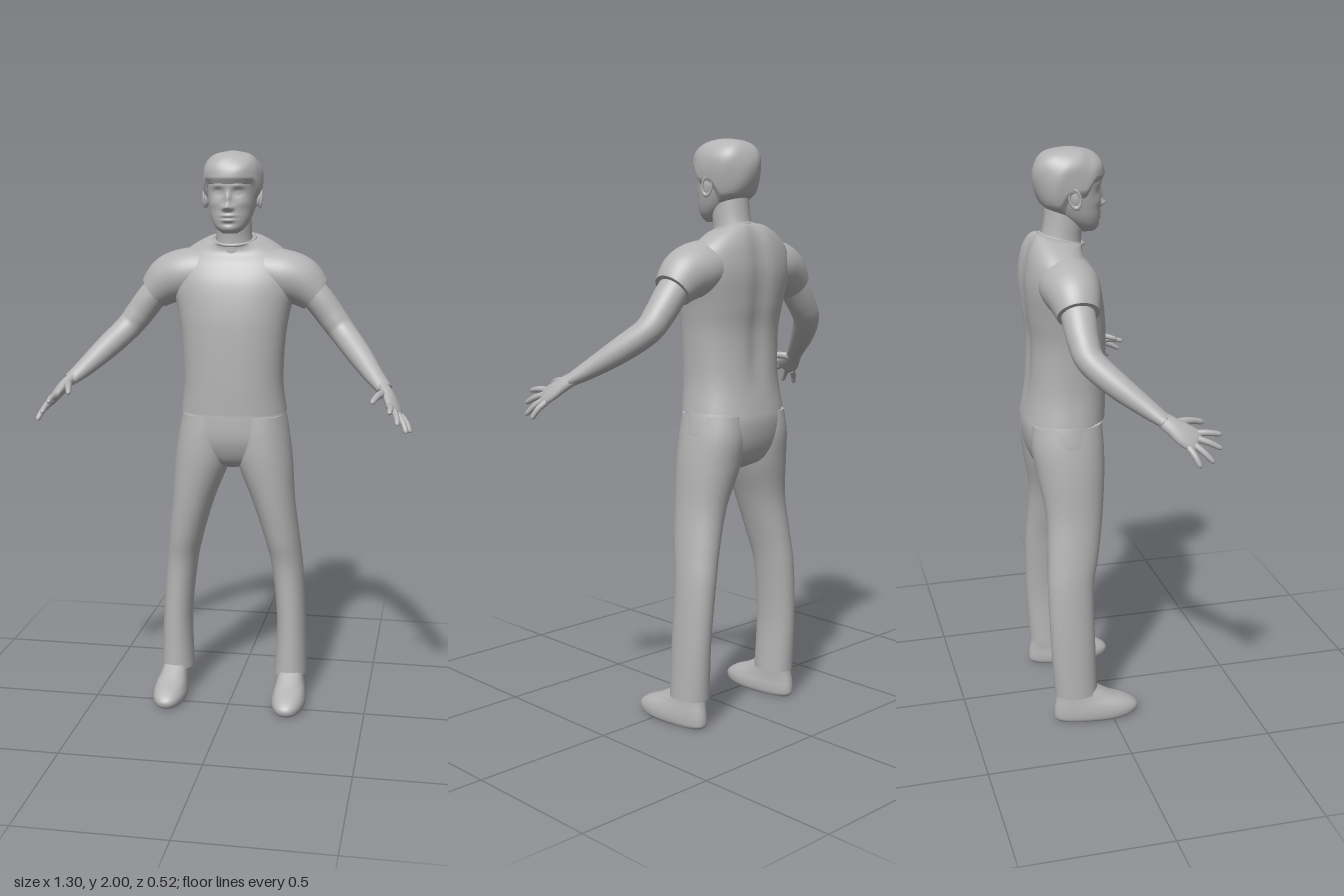
import * as THREE from 'three';

const grey = new THREE.MeshStandardMaterial({ color: 0xb4b4b4 });
grey.name = 'plain grey';

const { lerp, smoothstep, clamp } = THREE.MathUtils;
const V = (...a) => new THREE.Vector3(...a);

// Smooth (Catmull-Rom) interpolation through rows of numbers, u in 0..1
function sample(rows, u) {
  const f = clamp(u, 0, 1) * (rows.length - 1);
  const i = Math.min(Math.floor(f), rows.length - 2), t = f - i;
  const at = k => rows[clamp(k, 0, rows.length - 1)];
  const [p, q, r, s] = [at(i - 1), at(i), at(i + 1), at(i + 2)];
  return q.map((b, k) => b + 0.5 * t * (r[k] - p[k] +
    t * (2 * p[k] - 5 * b + 4 * r[k] - s[k] + t * (3 * (b - r[k]) + s[k] - p[k]))));
}

// Closed skin from point(u, angle), with flat caps; mirror = -1 flips it in x
function skin(name, point, nu, nv, mirror = 1) {
  const pos = [], index = [];
  const tri = (a, b, c) => mirror > 0 ? index.push(a, b, c) : index.push(a, c, b);
  const put = p => pos.push(p.x * mirror, p.y, p.z) / 3 - 1;
  const ring = u => Array.from({ length: nv }, (_, j) => point(u, j / nv * Math.PI * 2));
  for (let i = 0; i <= nu; i++) ring(i / nu).forEach(put);
  for (let i = 0; i < nu; i++) for (let j = 0; j < nv; j++) {
    const a = i * nv + j, b = i * nv + (j + 1) % nv;
    tri(a, a + nv, b);
    tri(b, a + nv, b + nv);
  }
  for (const end of [0, 1]) {
    const pts = ring(end), mid = V();
    pts.forEach(p => mid.addScaledVector(p, 1 / nv));
    const c = put(mid), first = c + 1;
    pts.forEach(put);
    for (let j = 0; j < nv; j++) {
      const a = first + j, b = first + (j + 1) % nv;
      end ? tri(c, b, a) : tri(c, a, b);
    }
  }
  const g = new THREE.BufferGeometry();
  g.setAttribute('position', new THREE.Float32BufferAttribute(pos, 3));
  g.setIndex(index);
  g.computeVertexNormals();
  const mesh = new THREE.Mesh(g, grey);
  mesh.name = name;
  return mesh;
}

// Rounded horizontal section: row = [y, centre x, half width, front z, back z]
const rounded = (v, n) => Math.sign(v) * Math.abs(v) ** (2 / n);
function section([y, cx, hw, zf, zb], angle, n = 2.2) {
  return V(cx + hw * rounded(Math.cos(angle), n), y,
    (zf + zb) / 2 + (zf - zb) / 2 * rounded(Math.sin(angle), n));
}
const upright = (rows, n) => (u, a) => section(sample(rows, u), a, n);

// Section square to a path: row = [x, y, z, half thickness, half width]
function limb(rows, ref = V(0, 1, 0)) {
  return (u, a) => {
    const [x, y, z, h, w] = sample(rows, u);
    const t = V(...sample(rows, u + 0.01)).sub(V(...sample(rows, u - 0.01))).normalize();
    const side = ref.clone().cross(t).normalize();
    const up = t.clone().cross(side);
    return V(x, y, z).addScaledVector(up, h * Math.cos(a)).addScaledVector(side, w * Math.sin(a));
  };
}

const shirtRows = [
  [1.09, 0, .19, .022, -.263], [1.2, 0, .178, .025, -.245], [1.35, 0, .185, .025, -.238],
  [1.45, 0, .2, .02, -.25], [1.55, 0, .222, .002, -.258], [1.62, 0, .21, -.028, -.252],
  [1.665, 0, .165, -.05, -.238], [1.695, 0, .11, -.052, -.217], [1.7, 0, .076, -.042, -.195]];
const hipRows = [
  [.885, 0, .03, -.07, -.17], [.91, 0, .13, -.035, -.215], [.95, 0, .185, -.012, -.24],
  [1.0, 0, .2, .002, -.255], [1.06, 0, .192, .003, -.26], [1.11, 0, .18, 0, -.25]];
const legRows = [
  [.1, .214, .06, -.05, -.203], [.3, .214, .053, -.057, -.215], [.5, .198, .057, -.057, -.22],
  [.62, .178, .064, -.035, -.215], [.76, .148, .077, -.014, -.212], [.9, .116, .099, 0, -.235],
  [1.0, .104, .098, .001, -.25], [1.08, .1, .085, -.005, -.245]];
const shoeRows = [
  [0, .221, .054, .08, -.195], [.012, .221, .062, .097, -.207], [.035, .221, .064, .098, -.208],
  [.06, .221, .06, .065, -.205], [.085, .219, .055, .005, -.2], [.12, .216, .05, -.055, -.195]];
const neckRows = [
  [1.63, 0, .075, -.05, -.2], [1.7, 0, .064, -.05, -.187], [1.75, 0, .062, -.045, -.177],
  [1.82, 0, .06, -.05, -.17]];
const headRows = [
  [1.722, 0, .025, -.005, -.06], [1.74, 0, .05, .008, -.09], [1.77, 0, .068, .013, -.13],
  [1.81, 0, .08, .014, -.17], [1.85, 0, .087, .014, -.19], [1.9, 0, .091, .018, -.2],
  [1.94, 0, .087, .012, -.195], [1.97, 0, .068, -.012, -.175], [1.985, 0, .04, -.045, -.14],
  [1.99, 0, 0, -.09, -.09]];
const sleeveRows = [
  [.08, 1.585, -.13, .085, .095], [.17, 1.572, -.13, .091, .1], [.235, 1.549, -.13, .087, .088],
  [.29, 1.505, -.13, .064, .07]];
const armRows = [
  [.25, 1.545, -.13, .05, .055], [.3, 1.49, -.13, .052, .056], [.35, 1.425, -.127, .05, .051],
  [.39, 1.375, -.112, .046, .047], [.45, 1.312, -.045, .042, .043], [.51, 1.25, .035, .031, .034],
  [.55, 1.214, .085, .021, .029]];
const palmRows = [
  [.54, 1.224, .07, .02, .026], [.562, 1.2, .105, .02, .032], [.578, 1.176, .138, .018, .04],
  [.589, 1.155, .17, .013, .04], [.592, 1.148, .18, .004, .034]];

// Sculpting of the face: [x, y, depth, spread x, spread y], mirrored when x > 0
const faceBumps = [
  [0, 1.812, .02, .012, .012], [0, 1.84, .012, .009, .024], [.013, 1.809, .008, .008, .008],
  [.035, 1.862, -.011, .018, .012], [.035, 1.861, .006, .012, .007], [.035, 1.884, .004, .025, .008],
  [.05, 1.825, .004, .02, .016], [0, 1.783, .008, .022, .006], [0, 1.768, .008, .02, .006],
  [0, 1.776, -.003, .026, .003], [0, 1.755, -.003, .022, .006], [0, 1.737, .004, .022, .012]];

function headPoint(u, a) {
  const p = section(sample(headRows, u), a);
  const front = smoothstep(Math.sin(a), .15, .5);
  let dz = 0;
  for (const [x, y, d, sx, sy] of faceBumps) for (const s of x ? [1, -1] : [1])
    dz += d * Math.exp(-(((p.x - s * x) / sx) ** 2) - ((p.y - y) / sy) ** 2);
  p.z += dz * front;
  return p;
}

// Hair follows the skull from a hairline that varies around the head
function hairPoint(t, a) {
  const s = Math.sin(a);
  const start = s > 0 ? lerp(.42, .53, smoothstep(s, .25, .65)) : lerp(.42, .27, smoothstep(-s, .1, .6));
  const u = lerp(start, 1, t);
  const [y, cx, hw, zf, zb] = sample(headRows, u);
  const d = .012 * Math.min(1, .1 + t * 9) + .002 * Math.sin(5 * a + 9 * t) * Math.sin(Math.PI * t);
  const fade = t > .999 ? 0 : 1;
  return section([y + .01 * u ** 4, cx, hw + d * fade, zf + d * fade, zb - d * fade], a);
}

function shirtPoint(u, a) {
  const p = section(sample(shirtRows, u), a, 2.3), s = Math.sin(a);
  if (s < 0) p.z += .012 * Math.exp(-((p.x / .035) ** 2)) * smoothstep(p.y, 1.12, 1.3); // spine hollow
  p.y -= .02 * s * smoothstep(p.y, 1.6, 1.7); // neckline dips at the front
  return p;
}

function shoePoint(u, a) {
  const p = section(sample(shoeRows, u), a, 2.3);
  p.x = .221 + (p.x - .221) * lerp(.78, 1, smoothstep(p.z, -.18, .03)); // narrower heel
  return p;
}

export function createModel() {
  const model = new THREE.Group();
  model.name = 'standing man';

  model.add(
    skin('shirt', shirtPoint, 48, 64),
    skin('trouserHips', upright(hipRows), 24, 48),
    skin('neck', upright(neckRows, 2), 12, 32),
    skin('head', headPoint, 100, 128),
    skin('hair', hairPoint, 40, 72));

  // Collar band
  const collar = new THREE.Mesh(new THREE.TorusGeometry(.073, .006, 8, 48), grey);
  collar.name = 'collar';
  collar.scale.y = 1.04;
  collar.rotation.x = -Math.PI / 2 + .26;
  collar.position.set(0, 1.699, -.118);
  model.add(collar);

  // Hand frame: direction across the knuckles and the back of the hand
  const across = V(.56, -.56, -.61), back = V(.74, .65, .08);
  const tips = [V(.575, 1.165, .262), V(.602, 1.126, .256), V(.631, 1.092, .22), V(.643, 1.085, .172)];

  for (const [side, m] of [['left', 1], ['right', -1]]) {
    model.add(
      skin(side + 'Sleeve', limb(sleeveRows), 20, 40, m),
      skin(side + 'Arm', limb(armRows), 36, 32, m),
      skin(side + 'TrouserLeg', upright(legRows, 2.1), 48, 40, m),
      skin(side + 'Shoe', shoePoint, 24, 48, m));

    const hand = new THREE.Group();
    hand.name = side + 'Hand';
    hand.add(skin('palm', limb(palmRows, back), 20, 24, m));
    tips.forEach((tip, i) => {
      const base = V(.586, 1.159, .162).addScaledVector(across, (i - 1.5) * .02);
      const at = (t, r) => {
        const p = base.clone().lerp(tip, t).addScaledVector(back, .006 * Math.sin(Math.PI * t));
        return [p.x, p.y, p.z, r, r];
      };
      hand.add(skin('finger', limb([at(0, .011), at(.35, .0105), at(.65, .0095), at(.92, .0075), at(1, 0)], back), 16, 14, m));
    });
    hand.add(skin('thumb', limb([[.555, 1.2, .1, .014, .016], [.54, 1.206, .14, .013, .014],
      [.528, 1.203, .178, .011, .011], [.518, 1.193, .213, .008, .009], [.515, 1.19, .222, 0, 0]], back), 16, 14, m));
    model.add(hand);

    // Ear: shell with a raised rim
    const ear = new THREE.Group();
    ear.name = side + 'Ear';
    const shell = new THREE.Mesh(new THREE.SphereGeometry(1, 20, 14), grey);
    shell.name = 'earShell';
    shell.scale.set(.009, .031, .018);
    const rim = new THREE.Mesh(new THREE.TorusGeometry(.018, .0045, 8, 28), grey);
    rim.name = 'earRim';
    rim.rotation.y = Math.PI / 2;
    rim.scale.y = 1.7;
    rim.position.x = m * .006;
    ear.add(shell, rim);
    ear.position.set(m * .09, 1.842, -.09);
    ear.rotation.set(-.2, m * .3, 0);
    model.add(ear);
  }
  return model;
}
